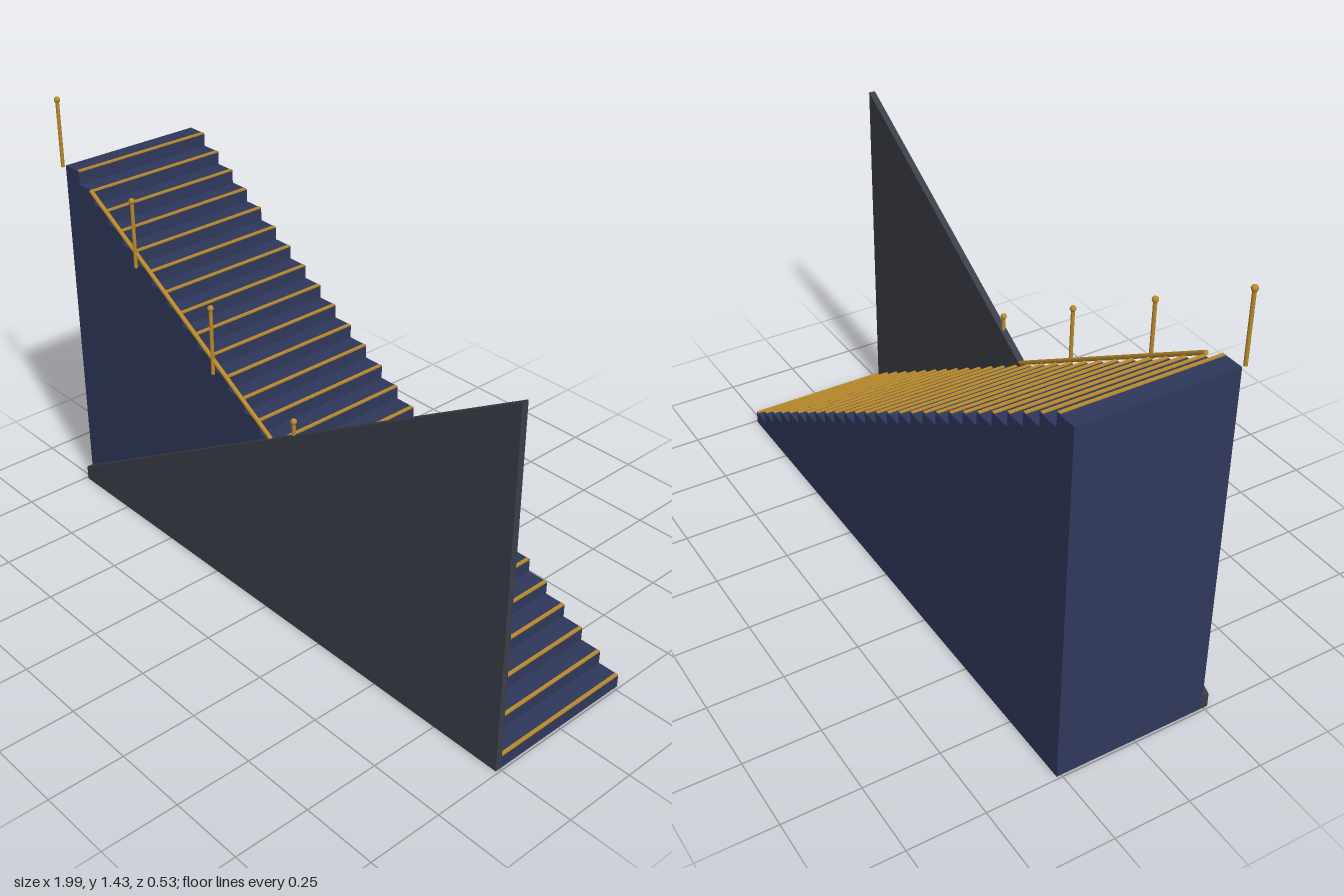
import * as THREE from 'three';

export function createModel() {
  const model = new THREE.Group();
  const navy = new THREE.MeshStandardMaterial({ color: 0x2f385c });
  const slate = new THREE.MeshStandardMaterial({ color: 0x3b3e48 });
  const gold = new THREE.MeshStandardMaterial({ color: 0xb8892b });

  const add = (parent, name, geometry, material, x, y, z) => {
    const mesh = new THREE.Mesh(geometry, material);
    mesh.name = name;
    mesh.position.set(x, y, z);
    parent.add(mesh);
    return mesh;
  };
  const group = (name) => {
    const g = new THREE.Group();
    g.name = name;
    model.add(g);
    return g;
  };

  const count = 27, low = 0.992, high = -0.992;
  const run = (low - high) / count, rise = 1.197 / count;
  const back = -0.265, inner = 0.243, outer = 0.265;
  const depth = inner - back, midZ = (inner + back) / 2;

  // Solid steps climbing towards -x, each with a thin metal nosing on its edge
  const steps = group('steps');
  const nosings = group('nosings');
  for (let i = 0; i < count; i++) {
    const h = rise * (i + 1), edge = low - run * i;
    add(steps, 'step', new THREE.BoxGeometry(run, h, depth), navy, edge - run / 2, h / 2, midZ);
    add(nosings, 'nosing', new THREE.BoxGeometry(0.011, 0.005, depth - 0.004), gold, edge - 0.005, h + 0.0005, midZ);
  }

  // Side panel, rising the opposite way to the steps
  const outline = new THREE.Shape([
    new THREE.Vector2(high, 0),
    new THREE.Vector2(low, 0),
    new THREE.Vector2(low, 1.195),
    new THREE.Vector2(high, 0.05),
  ]);
  const panel = new THREE.ExtrudeGeometry(outline, { depth: outer - inner, bevelEnabled: false });
  add(model, 'sidePanel', panel, slate, 0, 0, inner);

  // Posts with ball tops along the open side
  const posts = group('railPosts');
  const railZ = 0.255, postHeight = 0.225;
  for (let i = 0; i < 6; i++) {
    const x = -0.99 + 0.375 * i, foot = 1.197 - 0.225 * i;
    add(posts, 'post', new THREE.CylinderGeometry(0.006, 0.006, postHeight, 12), gold, x, foot + postHeight / 2, railZ);
    add(posts, 'postBall', new THREE.SphereGeometry(0.01, 14, 10), gold, x, foot + postHeight, railZ);
  }

  // Sloping rail
  const a = new THREE.Vector3(-0.845, 1.157, 0.25);
  const b = new THREE.Vector3(0.845, 0.14, 0.25);
  const rail = add(model, 'rail', new THREE.CylinderGeometry(0.007, 0.007, a.distanceTo(b), 12), gold, 0, 0, 0);
  rail.position.copy(a).add(b).multiplyScalar(0.5);
  rail.quaternion.setFromUnitVectors(new THREE.Vector3(0, 1, 0), a.clone().sub(b).normalize());

  return model;
}
